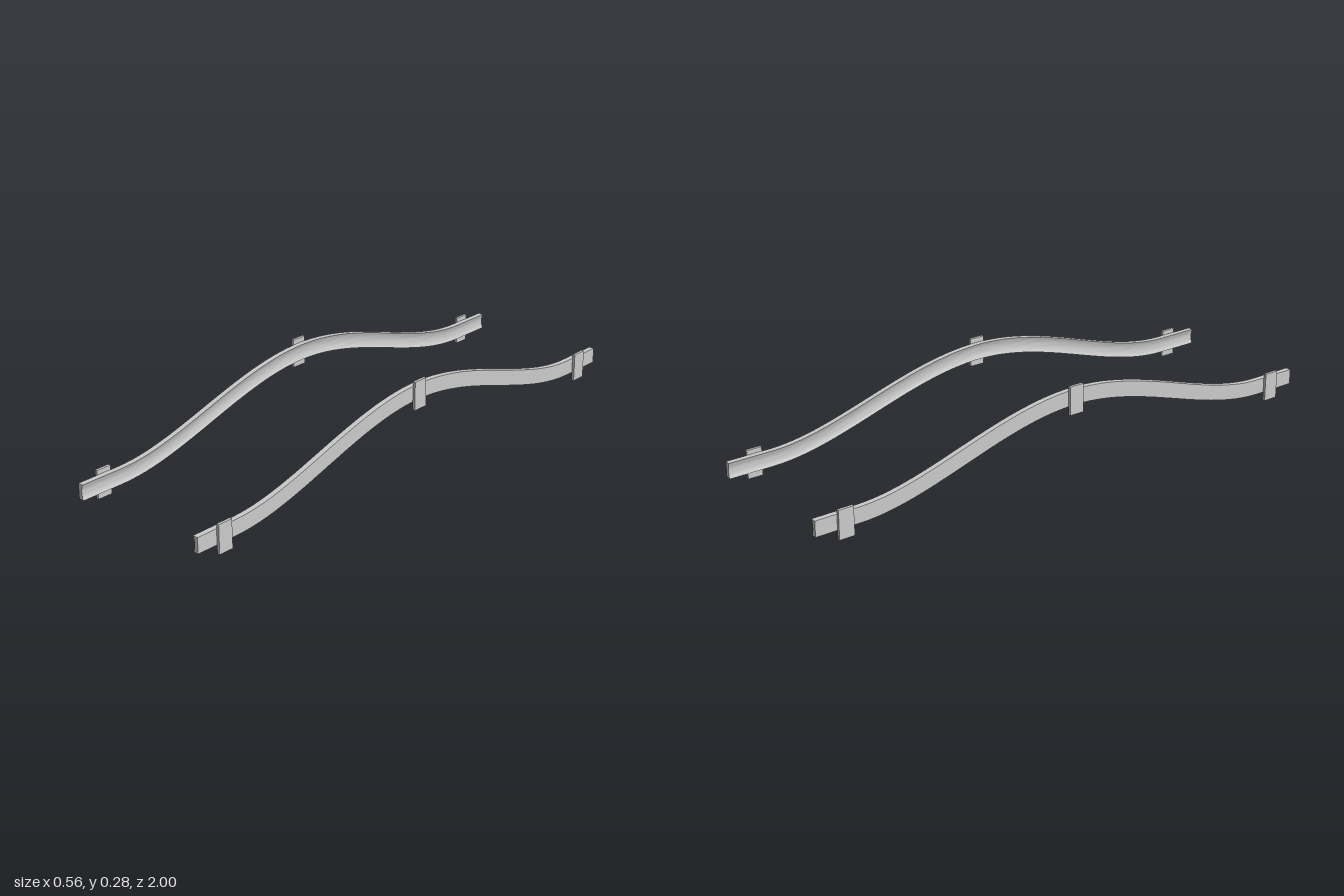
import * as THREE from 'three';
import { toCreasedNormals } from 'three/addons/utils/BufferGeometryUtils.js';

const LOW = 0.0575, HIGH = 0.2325, HALF = 0.0275;
const v = (z, y) => new THREE.Vector2(z, y);

// Side-on course of a rail (z, y): flat ends rising to a hump in the middle
function railPath() {
  const path = new THREE.Path();
  path.moveTo(-1, LOW);
  path.lineTo(-0.84, LOW);
  path.bezierCurveTo(-0.58, LOW, -0.3, HIGH, 0, HIGH);
  path.bezierCurveTo(0.3, HIGH, 0.58, LOW, 0.84, LOW);
  path.lineTo(1, LOW);
  return path;
}

// Cross-section: flat outer face, hollow inner face
function railProfile(side) {
  const s = new THREE.Shape();
  s.moveTo(side * 0.27, -HALF);
  s.lineTo(side * 0.27, HALF);
  s.lineTo(side * 0.25, HALF);
  s.bezierCurveTo(side * 0.258, 0.012, side * 0.258, -0.012, side * 0.25, -HALF);
  s.closePath();
  return s;
}

// Straight extrusion bent along the path
function railGeometry(side) {
  const path = railPath();
  const geo = new THREE.ExtrudeGeometry(railProfile(side), {
    depth: 1, steps: 64, bevelEnabled: false, curveSegments: 8,
  });
  const pos = geo.attributes.position;
  for (let i = 0; i < pos.count; i++) {
    const t = THREE.MathUtils.clamp(pos.getZ(i), 0, 1);
    const h = pos.getY(i);
    const p = path.getPointAt(t);
    const d = path.getTangentAt(t);
    pos.setXYZ(i, pos.getX(i), p.y + h * d.x, p.x - h * d.y);
  }
  return toCreasedNormals(geo, 0.5);
}

export function createModel() {
  const model = new THREE.Group();
  model.name = 'curvedRails';
  const material = new THREE.MeshStandardMaterial({ color: 0xcccccc });
  const plate = new THREE.BoxGeometry(0.01, 0.101, 0.055);

  for (const side of [1, -1]) {
    const group = new THREE.Group();
    group.name = side > 0 ? 'leftRailAssembly' : 'rightRailAssembly';

    const rail = new THREE.Mesh(railGeometry(side), material);
    rail.name = 'rail';
    group.add(rail);

    // Mounting plates on the outer face
    const mounts = [['frontMount', 0.895, 0.0525], ['middleMount', 0, 0.2285], ['backMount', -0.895, 0.0525]];
    for (const [name, z, y] of mounts) {
      const mount = new THREE.Mesh(plate, material);
      mount.name = name;
      mount.position.set(side * 0.275, y - 0.002, z);
      group.add(mount);
    }
    model.add(group);
  }
  return model;
}
